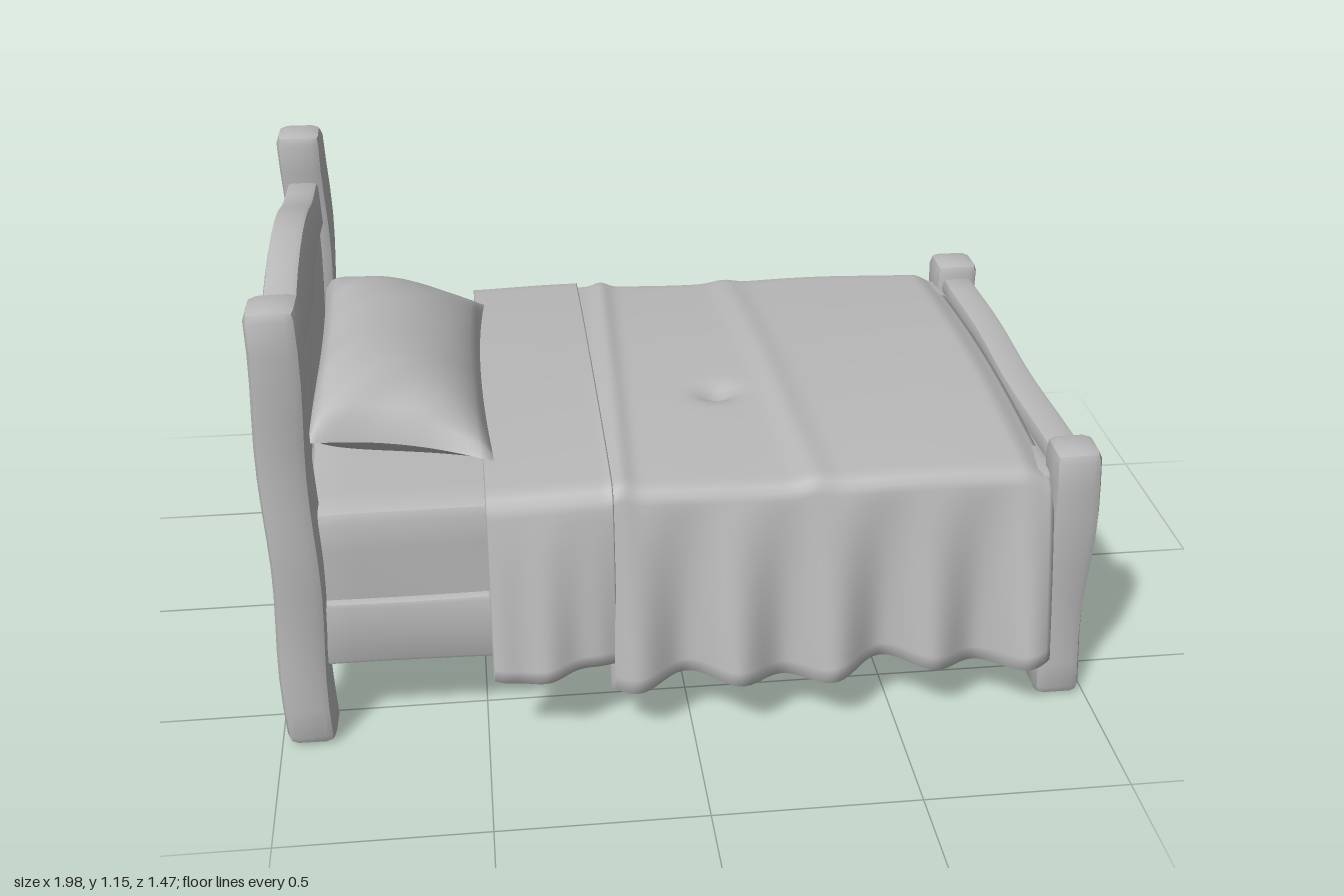
import * as THREE from 'three';
import { toCreasedNormals } from 'three/addons/utils/BufferGeometryUtils.js';

const { clamp, lerp, smoothstep } = THREE.MathUtils;
const grey = new THREE.MeshStandardMaterial({ color: 0xb8b8b8, side: THREE.DoubleSide });
grey.name = 'plainGrey';

function add(group, name, geometry) {
  const mesh = new THREE.Mesh(geometry, grey);
  mesh.name = name;
  group.add(mesh);
}

// Hewn timber: a box with chamfered edges and a gentle uneven surface.
// Bounds are [min, max] per axis; bend() may move the finished points.
function timber(bx, by, bz, r = 0.022, rough = 0.005, bend = null) {
  const b = [bx, by, bz];
  const size = b.map(([lo, hi]) => hi - lo);
  const n = size.map((s) => Math.max(4, Math.round(s / 0.08) + 2));
  const geo = new THREE.BoxGeometry(1, 1, 1, ...n);
  const pos = geo.attributes.position;
  const p = new THREE.Vector3(), q = new THREE.Vector3();
  for (let i = 0; i < pos.count; i++) {
    p.fromBufferAttribute(pos, i);
    ['x', 'y', 'z'].forEach((k, a) => {
      const [lo, hi] = b[a];
      const step = Math.round((p[k] + 0.5) * n[a]);
      const inner = lerp(lo + r, hi - r, clamp((step - 1) / (n[a] - 2), 0, 1));
      q[k] = inner;
      p[k] = step === 0 ? lo : step === n[a] ? hi : inner;
    });
    // pull edges and corners in to form the chamfer
    const d = p.clone().sub(q);
    if (d.lengthSq() > 0) p.copy(q).addScaledVector(d.normalize(), r);
    const { x, y, z } = p;
    p.x += rough * Math.sin(11 * y + 9 * z + 3 * x);
    p.z += rough * Math.sin(13 * y + 7 * x + 2 * z);
    if (bend) bend(p);
    pos.setXYZ(i, p.x, p.y, p.z);
  }
  return toCreasedNormals(geo, 0.6);
}

// Smooth surface over a grid: f(u, v, out) with u, v in 0..1
function surface(nu, nv, f) {
  const geo = new THREE.PlaneGeometry(1, 1, nu, nv);
  const pos = geo.attributes.position;
  const p = new THREE.Vector3();
  for (let i = 0; i < pos.count; i++) {
    f(pos.getX(i) + 0.5, pos.getY(i) + 0.5, p);
    pos.setXYZ(i, p.x, p.y, p.z);
  }
  geo.computeVertexNormals();
  return geo;
}

// Height of the cloth on top of the bed
function clothTop(x, z) {
  const crown = 0.028 * (1 - (z / 0.62) ** 2);
  const creases = 0.010 * Math.exp(-(((x - 0.27 - 0.05 * z) / 0.04) ** 2))
    + 0.014 * Math.exp(-(((x + 0.14 + 0.04 * z) / 0.025) ** 2))
    + 0.004 * Math.sin(9 * x + 5 * z);
  const dent = -0.03 * Math.exp(-(((x - 0.12) / 0.05) ** 2) - ((z - 0.16) / 0.035) ** 2);
  return 0.638 + crown + creases + dent - 0.035 * smoothstep(x, 0.8, 0.89);
}

// Draped cloth with its rim turned inward to give it thickness
function drape(x0, x1, lift, hemY, hemZ) {
  const nu = 90, nv = 80;
  return surface(nu, nv, (u, v, p) => {
    const uu = clamp((u * nu - 1) / (nu - 2), 0, 1);
    const vv = clamp((v * nv - 1) / (nv - 2), 0, 1);
    const rim = u < 0.5 / nu || u > 1 - 0.5 / nu || v < 0.5 / nv || v > 1 - 0.5 / nv;
    const off = rim ? lift - 0.022 : lift;
    const x = lerp(x0, x1, uu);
    const s = 1 - 2 * vv, side = Math.sign(s) || 1, a = Math.abs(s);
    let y, z;
    if (a < 0.55) {
      z = (a / 0.55) * 0.57;
      y = clothTop(x, side * z) + off;
    } else {
      const edgeY = clothTop(x, side * 0.57);
      const t = clamp((a - 0.55) / 0.1, 0, 1) * Math.PI / 2;
      z = 0.57 + (0.045 + off) * Math.sin(t);
      y = edgeY - 0.045 + (0.045 + off) * Math.cos(t);
      if (a > 0.65) {
        const h = (a - 0.65) / 0.35;
        z = lerp(z, hemZ(x, side) + off, Math.pow(h, 0.85));
        y = lerp(y, hemY(x, side), h);
      }
    }
    p.set(x, y, side * z);
  });
}

// Plump pillow half: dir is 1 for the top and -1 for the underside
function pillowHalf(dir) {
  return surface(28, 36, (uu, vv, p) => {
    const u = (uu * 2 - 1) * dir, v = 1 - vv * 2;
    const seam = lerp(0.79, 0.665, (u + 1) / 2) - 0.05 * v ** 4 * (1 - u) / 2;
    const fill = Math.sqrt(Math.max(0, (1 - u * u) * (1 - Math.abs(v) ** 3.5)));
    const wrinkle = 0.006 * Math.sin(14 * v + 6 * u) * fill * Math.abs(v);
    p.set(
      -0.67 + 0.215 * u * (1 - 0.07 * (1 - v * v)),
      dir > 0 ? seam + 0.118 * fill + wrinkle : seam - (seam - 0.625) * fill,
      0.01 + 0.455 * v * (1 - 0.09 * (1 - u * u))
    );
  });
}

export function createModel() {
  const bed = new THREE.Group();
  bed.name = 'bed';

  // Corner posts and side rails, mirrored across the bed
  for (const s of [1, -1]) {
    const zs = (a, b) => (s > 0 ? [a, b] : [-b, -a]);
    const side = s > 0 ? 'Front' : 'Back';
    add(bed, 'headPost' + side, timber([-0.988, -0.868], [0, 1.155], zs(0.515, 0.635), 0.026));
    add(bed, 'footPost' + side, timber([0.866, 0.986], [0, 0.69], zs(0.515, 0.635), 0.026));
    add(bed, 'sideRail' + side, timber([-0.9, 0.9], [0.21, 0.387], zs(0.545, 0.612), 0.012));
  }

  // Headboard: low rail, panel and arched top plank
  const span = [-0.53, 0.53];
  add(bed, 'headRail', timber([-0.978, -0.885], [0.21, 0.387], span, 0.014, 0.004));
  add(bed, 'headPanel', timber([-0.958, -0.9], [0.375, 0.9], span, 0.01, 0.004));
  add(bed, 'headArch', timber([-0.972, -0.888], [0.888, 1.02], span, 0.014, 0.004, (p) => {
    const rise = 0.5 + 0.5 * Math.cos(Math.PI * clamp(p.z / 0.46, -1, 1));
    p.y += 0.09 * rise * clamp((p.y - 0.91) / 0.1, 0, 1);
  }));

  // Footboard: two planks and a top rail
  add(bed, 'footPlankLow', timber([0.892, 0.96], [0.21, 0.4], span, 0.01, 0.006));
  add(bed, 'footPlankHigh', timber([0.892, 0.96], [0.395, 0.594], span, 0.01, 0.006));
  add(bed, 'footTopRail', timber([0.884, 0.967], [0.588, 0.648], span, 0.014, 0.004));

  // Mattress, reaching down to a flat underside
  add(bed, 'mattress', timber([-0.9, 0.89], [0.212, 0.622], [-0.592, 0.592], 0.03, 0.003));

  // Pillow
  add(bed, 'pillowTop', pillowHalf(1));
  add(bed, 'pillowUnderside', pillowHalf(-1));

  // Blanket with a rippled hem
  add(bed, 'blanket', drape(-0.2, 0.875, 0,
    (x, s) => 0.155 + 0.012 * Math.sin(14 * x + s),
    (x, s) => 0.69 + 0.034 * Math.cos((x - 0.11 + 0.008 * s) * 26.2) + 0.012 * Math.sin(9 * x)));

  // Turned-over fold at the head end
  add(bed, 'blanketFold', drape(-0.482, -0.185, 0.012,
    (x) => 0.207 + 0.008 * Math.sin(20 * x),
    (x) => 0.685 + 0.025 * Math.cos((x + 0.39) * 14) + 0.006 * Math.sin(50 * x)));

  return bed;
}
